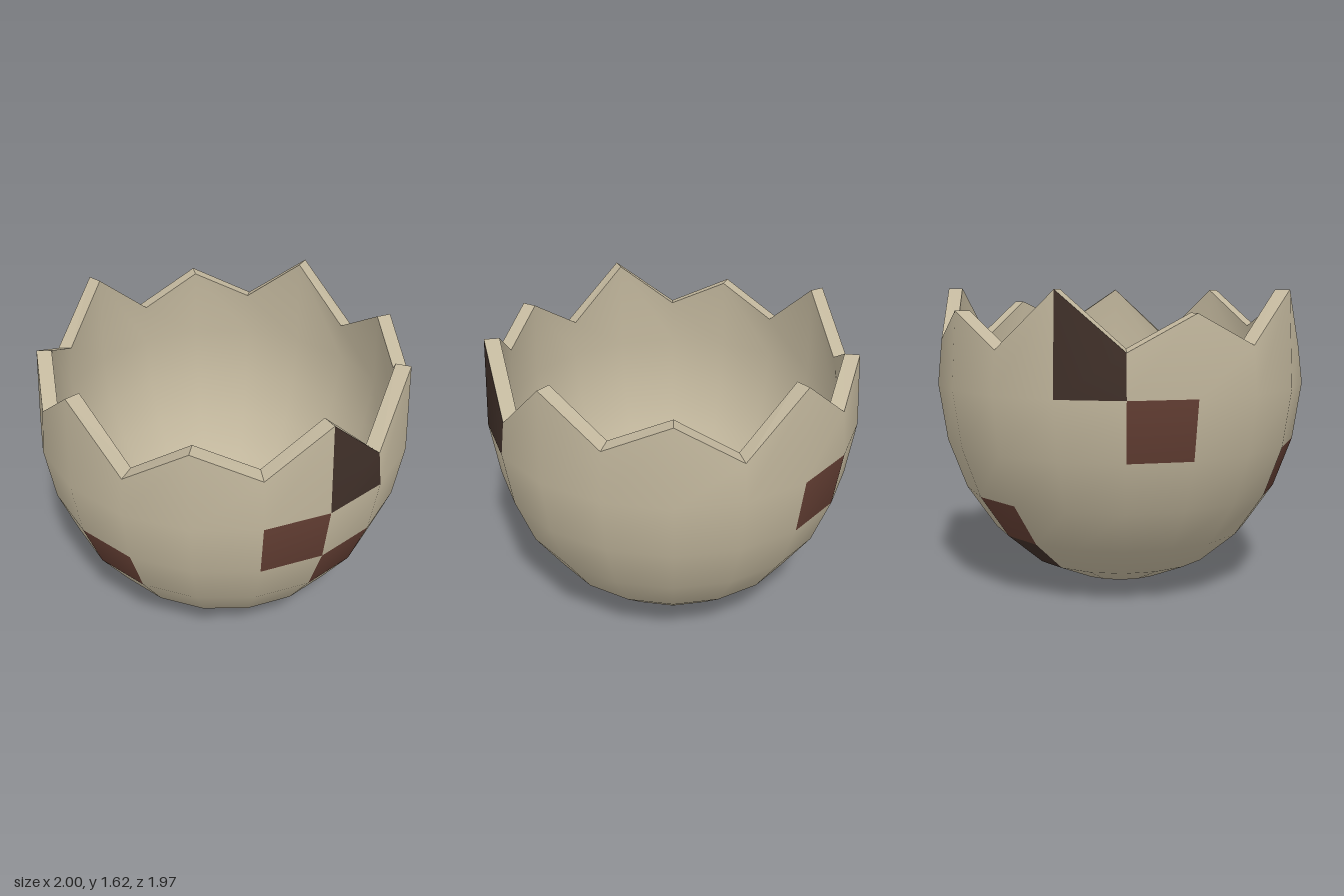
import * as THREE from 'three';

const SIDES = 18;
// Profile rings from the pole upwards: [radius, height]
const RINGS = [[0, 0], [0.26, 0.035], [0.5, 0.14], [0.7, 0.31], [0.857, 0.54], [0.955, 0.806], [1, 1.11]];
const TOP = RINGS.length;
// Broken edge heights, mirrored front to back: from +x round to -x
const EDGE = [1.29, 1.6, 1.375, 1.53, 1.31, 1.615, 1.35, 1.51, 1.33, 1.62];
const edgeHeight = k => EDGE[Math.min(k % SIDES, SIDES - (k % SIDES))];

// Spots as [side, band]
const RED = [[4, 4], [1, 5], [7, 5], [0, 4], [1, 1], [3, 1], [12, 5], [10, 3]];
const DARK = [[0, 6], [8, 6], [3, 2], [2, 1], [4, 0], [15, 1], [10, 2]];

function polar(k, r, y) {
  const a = (k / SIDES) * Math.PI * 2;
  return [r * Math.cos(a), y, r * Math.sin(a)];
}

const outerPoint = (k, b) => b === TOP
  ? polar(k, 0.976, edgeHeight(k))
  : polar(k, ...RINGS[b]);

const innerPoint = (k, b) => b === TOP
  ? polar(k, 0.897, edgeHeight(k) + (k % 2 ? 0 : 0.015))
  : polar(k, RINGS[b][0] * 0.918, 1.11 + (RINGS[b][1] - 1.11) * 0.92);

// Smooth bowl surface; cells are grouped by the material that pick() returns
function bowl(point, inward, pick) {
  const pos = [...point(0, 0)];
  for (let b = 1; b <= TOP; b++) {
    for (let k = 0; k < SIDES; k++) pos.push(...point(k, b));
  }
  const id = (k, b) => (b === 0 ? 0 : 1 + (b - 1) * SIDES + (k % SIDES));
  const faces = [[], [], []];
  for (let b = 0; b < TOP; b++) {
    for (let k = 0; k < SIDES; k++) {
      const p = id(k + 1, b), q = id(k, b), r = id(k, b + 1), s = id(k + 1, b + 1);
      const tris = b === 0 ? [[q, r, s]] : [[p, q, r], [p, r, s]];
      for (const t of tris) faces[pick(k, b)].push(...(inward ? t.reverse() : t));
    }
  }
  const geo = new THREE.BufferGeometry();
  geo.setAttribute('position', new THREE.Float32BufferAttribute(pos, 3));
  geo.setIndex(faces.flat());
  let start = 0;
  faces.forEach((f, i) => {
    if (f.length) geo.addGroup(start, f.length, i);
    start += f.length;
  });
  geo.computeVertexNormals();
  return geo;
}

// Flat zigzag band joining the outer and inner edges
function rim() {
  const pos = [];
  for (let k = 0; k < SIDES; k++) {
    const a = outerPoint(k, TOP), b = outerPoint(k + 1, TOP);
    const c = innerPoint(k + 1, TOP), d = innerPoint(k, TOP);
    pos.push(...b, ...a, ...d, ...b, ...d, ...c);
  }
  const geo = new THREE.BufferGeometry();
  geo.setAttribute('position', new THREE.Float32BufferAttribute(pos, 3));
  geo.computeVertexNormals();
  return geo;
}

export function createModel() {
  const material = (name, color) => {
    const m = new THREE.MeshStandardMaterial({ color });
    m.name = name;
    return m;
  };
  const shell = material('shell beige', 0xc2b79d);
  const red = material('reddish brown', 0x633e33);
  const dark = material('dark brown', 0x403029);

  const has = (list, k, b) => list.some(([s, t]) => s === k && t === b);
  const spot = (k, b) => (has(RED, k, b) ? 1 : has(DARK, k, b) ? 2 : 0);

  const group = new THREE.Group();
  group.name = 'brokenEggshell';
  const add = (name, geo, mat) => {
    const mesh = new THREE.Mesh(geo, mat);
    mesh.name = name;
    group.add(mesh);
  };
  add('outerShell', bowl(outerPoint, false, spot), [shell, red, dark]);
  add('innerShell', bowl(innerPoint, true, () => 0), [shell, red, dark]);
  add('jaggedRim', rim(), shell);
  return group;
}
